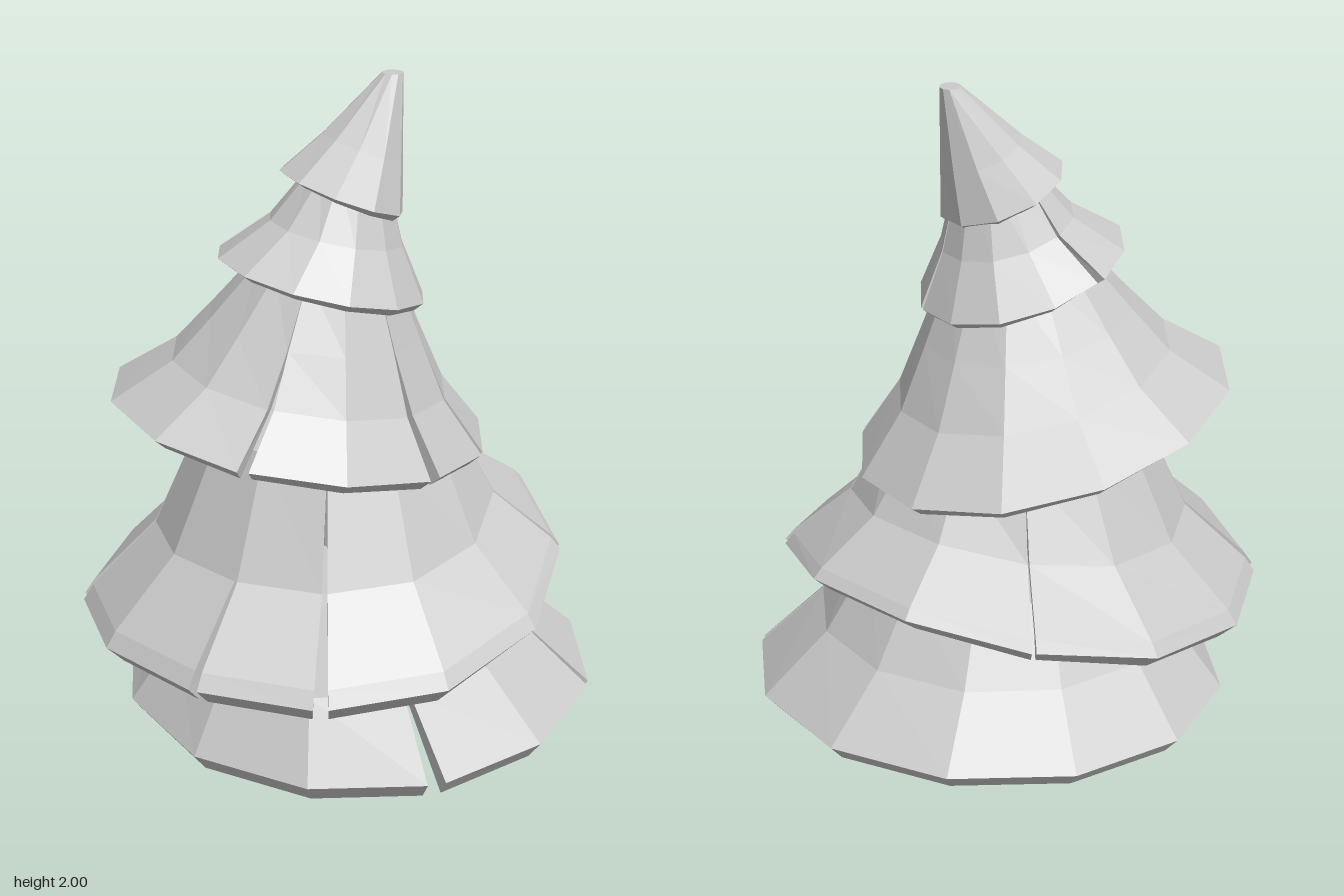
import * as THREE from 'three';

const material = new THREE.MeshStandardMaterial({ color: 0xcccccc, flatShading: true, side: THREE.DoubleSide });

// Corner of a tilted, slightly curved oval rim, at an angle measured from +x towards +z
function rimCorner({ centre, size, height, tilt, curve = 0 }, angle) {
  const dx = size[0] * Math.cos(angle), dz = size[1] * Math.sin(angle);
  const y = height + tilt[0] * dx + tilt[1] * dz + curve * dx * dx;
  return new THREE.Vector3(centre[0] + dx, y, centre[1] + dz);
}

// Closed cross-section at one corner: outer skin upwards, inner skin back down
function section(tier, angle, shift) {
  const { top, radius, bends, lip } = tier;
  const c = Math.cos(angle), s = Math.sin(angle);
  const rim = rimCorner(tier, angle);
  const crown = new THREE.Vector3(...top);
  const outer = [[0, 0], ...bends, [1, 1]].map(([inwards, up]) => {
    const gap = shift * Math.max(0, 1 - 1.5 * up);
    return new THREE.Vector3(
      THREE.MathUtils.lerp(rim.x, crown.x + radius * c, inwards) - s * gap,
      THREE.MathUtils.lerp(rim.y, crown.y, up),
      THREE.MathUtils.lerp(rim.z, crown.z + radius * s, inwards) + c * gap);
  });
  const inner = outer.slice(0, -1).map((p, i) =>
    new THREE.Vector3(p.x - lip[0] * c, p.y - lip[1] * (i ? 0.4 : 1), p.z - lip[0] * s));
  return [...outer, crown, ...inner.reverse()];
}

// Skirt of branches, cut into panels at the slits (corner number: half-width)
function branchTier(name, tier) {
  const { sides, start = 0, slits } = tier;
  const out = [];
  const quad = (a, b, c, d) => [a, b, c, a, c, d].forEach(p => out.push(p.x, p.y, p.z));
  const angleAt = i => start + (i / sides) * Math.PI * 2;
  for (let i = 0; i < sides; i++) {
    const slitA = slits[i] || 0, slitB = slits[(i + 1) % sides] || 0;
    const A = section(tier, angleAt(i), slitA);
    const B = section(tier, angleAt(i + 1), -slitB);
    const m = A.length;
    for (let k = 0; k < m; k++) {
      const next = (k + 1) % m;
      quad(A[k], A[next], B[next], B[k]);
    }
    // Walls of the slits
    for (let k = 0; k < m / 2 - 1; k++) {
      if (slitA) quad(A[k], A[m - 1 - k], A[m - 2 - k], A[k + 1]);
      if (slitB) quad(B[k], B[k + 1], B[m - 2 - k], B[m - 1 - k]);
    }
  }
  const geometry = new THREE.BufferGeometry();
  geometry.setAttribute('position', new THREE.Float32BufferAttribute(out, 3));
  geometry.computeVertexNormals();
  const mesh = new THREE.Mesh(geometry, material);
  mesh.name = name;
  return mesh;
}

export function createModel() {
  const tree = new THREE.Group();
  tree.name = 'tree';

  // Trunk, running up inside the branches
  const trunk = new THREE.Mesh(new THREE.CylinderGeometry(0.09, 0.125, 0.9, 10), material);
  trunk.name = 'trunk';
  trunk.position.set(0.017, 0.45, 0.035);
  tree.add(trunk);

  // Tiers from the ground up; bends are [share inwards, share upwards]
  tree.add(branchTier('bottomBranches', {
    centre: [0.06, 0], size: [0.64, 0.66], height: 0.305, tilt: [0.08, -0.045],
    top: [0, 0.7, 0], radius: 0.38, bends: [[0.58, 0.44]], lip: [0.04, 0.05],
    sides: 12, slits: { 2: 0.012, 4: 0.025 },
  }));
  tree.add(branchTier('lowerBranches', {
    centre: [-0.06, -0.02], size: [0.66, 0.645], height: 0.57, tilt: [0.17, -0.02], curve: 0.2,
    top: [-0.04, 1.07, -0.02], radius: 0.33, bends: [[0.08, 0.08], [0.6, 0.42]], lip: [0.05, 0.05],
    sides: 12, start: -0.23, slits: { 2: 0.012, 5: 0.02, 6: 0.012, 8: 0.02, 11: 0.006 },
  }));
  tree.add(branchTier('middleBranches', {
    centre: [-0.08, -0.08], size: [0.535, 0.48], height: 1.075, tilt: [-0.13, -0.14],
    top: [-0.07, 1.52, 0], radius: 0.18, bends: [[0.42, 0.29], [0.68, 0.6]], lip: [0.035, 0.03],
    sides: 12, slits: { 2: 0.01, 3: 0.018, 5: 0.015 },
  }));
  tree.add(branchTier('upperBranches', {
    centre: [-0.08, 0], size: [0.285, 0.265], height: 1.475, tilt: [-0.22, -0.14],
    top: [-0.02, 1.76, 0.04], radius: 0.1, bends: [[0.56, 0.42]], lip: [0.025, 0.02],
    sides: 12, slits: { 1: 0.008, 9: 0.015 },
  }));
  tree.add(branchTier('treeTip', {
    centre: [-0.04, 0.035], size: [0.16, 0.165], height: 1.7, tilt: [-0.33, -0.2],
    top: [0.083, 2, 0.1], radius: 0.028, bends: [[0.42, 0.38]], lip: [0.02, 0.015],
    sides: 10, slits: {},
  }));
  return tree;
}
